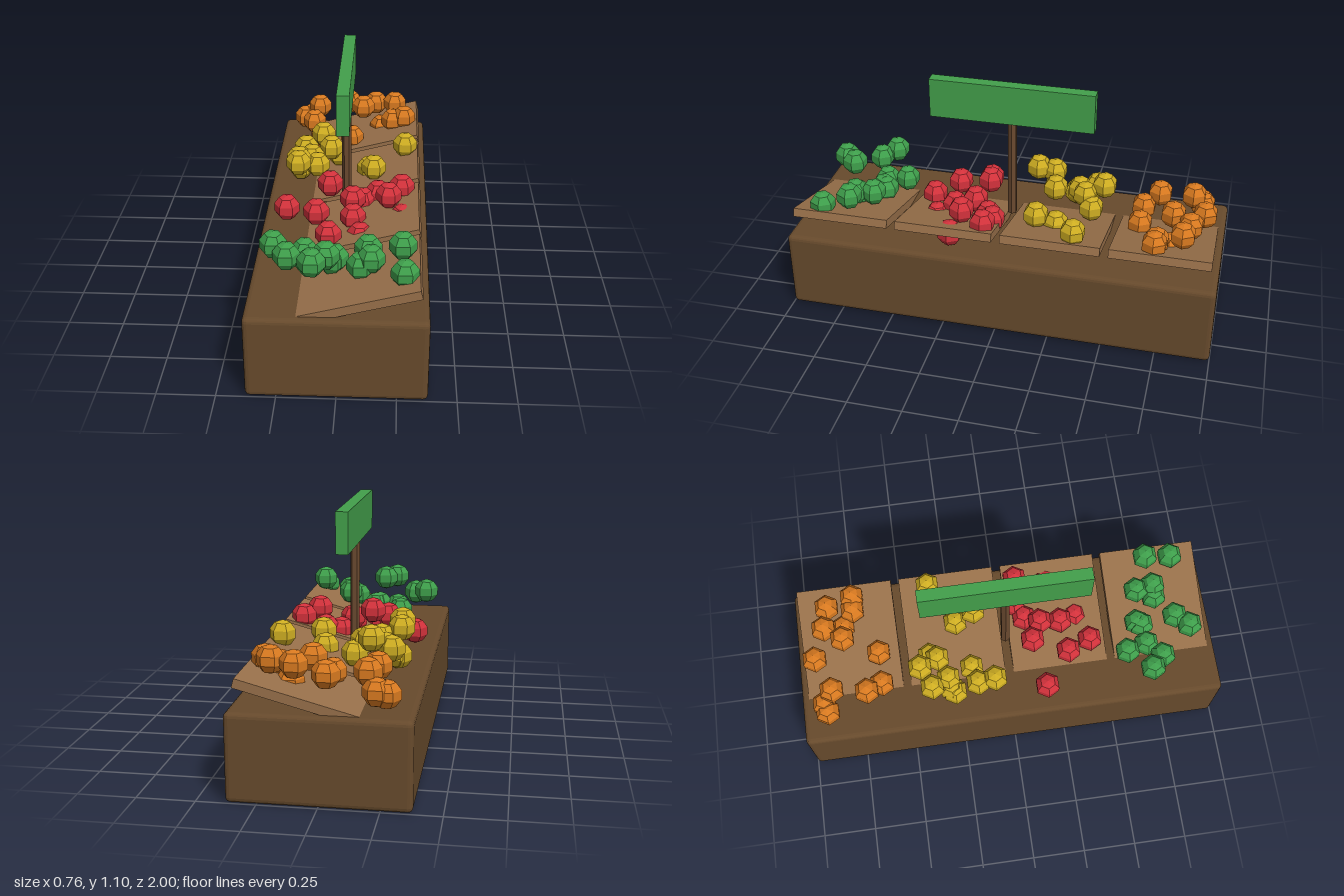
import * as THREE from 'three';
import { RoundedBoxGeometry } from 'three/addons/geometries/RoundedBoxGeometry.js';

const mat = (name, color) => {
  const m = new THREE.MeshStandardMaterial({ color, flatShading: true });
  m.name = name;
  return m;
};

// Fruit centres [x, y, z], one heap per tray
const heaps = {
  green: [
    [-0.155, 0.45, 0.57], [-0.28, 0.535, 0.66], [-0.22, 0.515, 0.72], [-0.13, 0.45, 0.665],
    [-0.105, 0.57, 0.86], [-0.05, 0.57, 0.8], [-0.02, 0.46, 0.635], [-0.035, 0.46, 0.655],
    [0.12, 0.52, 0.65], [0.09, 0.485, 0.735], [0.135, 0.52, 0.735], [0.265, 0.575, 0.715],
    [0.275, 0.52, 0.845],
  ],
  red: [
    [-0.27, 0.445, 0.165], [-0.07, 0.55, 0.12], [-0.125, 0.49, 0.285], [-0.065, 0.44, 0.4],
    [0.04, 0.46, 0.27], [0.035, 0.5, 0.17], [0.08, 0.455, 0.1], [0.15, 0.475, 0.06],
    [0.26, 0.52, 0.08], [0.2, 0.535, 0.195], [0.265, 0.445, 0.235], [0.075, 0.41, 0.35],
  ],
  yellow: [
    [-0.135, 0.555, -0.42], [-0.22, 0.5, -0.375], [-0.09, 0.52, -0.335], [-0.055, 0.47, -0.37],
    [-0.185, 0.49, -0.295], [-0.24, 0.44, -0.27], [-0.225, 0.45, -0.285], [-0.24, 0.54, -0.16],
    [-0.15, 0.5, -0.18], [-0.235, 0.555, -0.08], [0.1, 0.46, -0.23], [0.125, 0.51, -0.14],
    [0.275, 0.54, -0.34],
  ],
  orange: [
    [-0.26, 0.45, -0.875], [-0.22, 0.46, -0.885], [-0.18, 0.53, -0.84], [-0.02, 0.53, -0.905],
    [0.12, 0.55, -0.85], [0.22, 0.56, -0.825], [0.055, 0.56, -0.765], [0.15, 0.45, -0.765],
    [0.21, 0.51, -0.71], [0.27, 0.53, -0.705], [-0.2, 0.51, -0.68], [-0.155, 0.455, -0.61],
    [0, 0.455, -0.61],
  ],
};

export function createModel() {
  const model = new THREE.Group();
  model.name = 'produceStand';
  const add = (name, geometry, material, x, y, z, parent = model) => {
    const mesh = new THREE.Mesh(geometry, material);
    mesh.name = name;
    mesh.position.set(x, y, z);
    parent.add(mesh);
    return mesh;
  };

  const darkWood = mat('darkWood', 0x674a2c);
  const lightWood = mat('lightWood', 0x98704a);
  const postWood = mat('postWood', 0x6b4a30);
  const signGreen = mat('signGreen', 0x43a04b);
  const fruitMats = {
    green: mat('greenFruit', 0x3fa04c),
    red: mat('redFruit', 0xd4323c),
    yellow: mat('yellowFruit', 0xcfae22),
    orange: mat('orangeFruit', 0xd97a20),
  };

  // Solid counter with softened edges
  add('counter', new RoundedBoxGeometry(0.76, 0.38, 2, 2, 0.022), darkWood, 0, 0.19, 0);

  // Four trays tilted toward one long side, sunk into the counter at the low edge
  const trayGeo = new THREE.BoxGeometry(0.71, 0.04, 0.455);
  for (const z of [-0.74, -0.247, 0.247, 0.74]) {
    add('tray', trayGeo, lightWood, 0, 0.403, z).rotation.z = THREE.MathUtils.degToRad(15);
  }

  // Heaps of faceted fruit
  const fruitGeo = new THREE.SphereGeometry(0.062, 6, 5);
  for (const [kind, spots] of Object.entries(heaps)) {
    const heap = new THREE.Group();
    heap.name = kind + 'FruitHeap';
    for (const [x, y, z] of spots) add(kind + 'Fruit', fruitGeo, fruitMats[kind], x, y, z, heap);
    model.add(heap);
  }

  // Sign on a hexagonal post
  const post = add('signPost', new THREE.CylinderGeometry(0.022, 0.022, 0.5, 6), postWood, 0, 0.68, 0);
  post.rotation.y = Math.PI / 2;
  add('signBoard', new THREE.BoxGeometry(0.056, 0.187, 0.764), signGreen, 0, 1.003, 0);

  return model;
}
